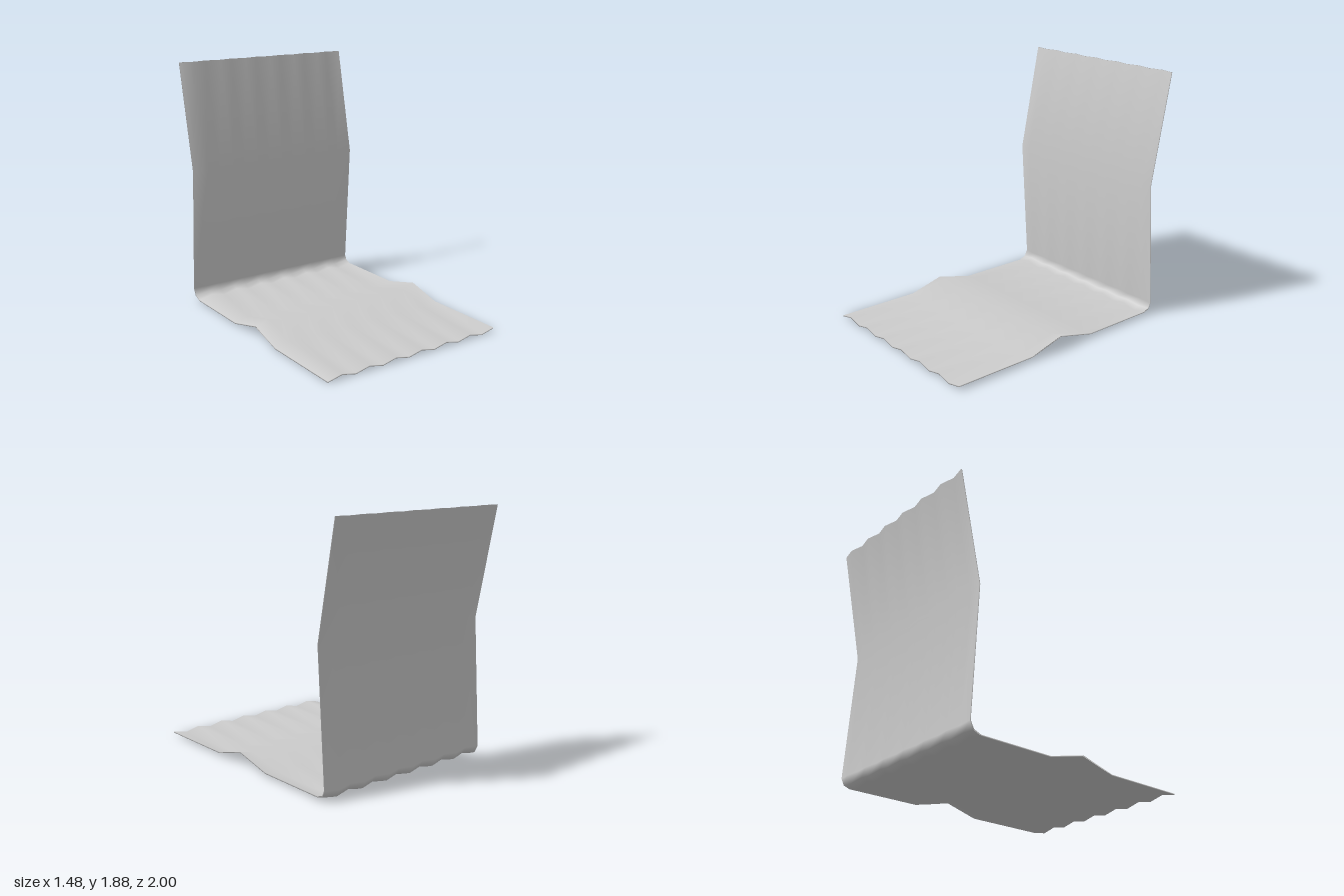
import * as THREE from 'three';

const HALF_WIDTH = 0.74;
const FOLDS = 13;         // zigzag facets across the width
const RIPPLE = 0.0125;    // half height of the zigzag
const HALF_THICK = 0.0045;

// Side profile from front edge to top edge: z, y, then the offset direction (z, y)
const PROFILE = [
  [1.0, 0.017, 0, 1],
  [0.35, 0.017, 0, 1],
  [0.08, 0.091, 0, 1],
  [-0.22, 0.017, 0, 1],
  [-0.8, 0.017, 0.1, 1],
  [-0.852, 0.037, 0.6, 0.75],
  [-0.877, 0.085, 0.85, 0.3],
  [-0.814, 1.055, 0.9, 0],
  [-0.983, 1.885, 1, 0],
];

// Closed thin sheet: one zigzag ring (upper row, then lower row back) per profile point
function corrugatedSheet() {
  const n = FOLDS + 1;
  const ring = 2 * n;
  const positions = [];
  const index = [];
  const quad = (a, b, c, d) => index.push(a, b, c, a, c, d);

  PROFILE.forEach(([z, y, dz, dy]) => {
    for (let k = 0; k < ring; k++) {
      const upper = k < n;
      const i = upper ? k : ring - 1 - k;
      const x = -HALF_WIDTH + (2 * HALF_WIDTH * i) / FOLDS;
      const h = (i % 2 ? RIPPLE : -RIPPLE) + (upper ? HALF_THICK : -HALF_THICK);
      positions.push(x, y + dy * h, z + dz * h);
    }
  });

  // Faces and side rims between neighbouring rings
  for (let j = 0; j < PROFILE.length - 1; j++) {
    for (let k = 0; k < ring; k++) {
      const a = j * ring + k;
      const b = j * ring + ((k + 1) % ring);
      quad(a, b, b + ring, a + ring);
    }
  }

  // Rims at the front and top edges
  const last = (PROFILE.length - 1) * ring;
  for (let i = 0; i < FOLDS; i++) {
    const low = ring - 1 - i;
    quad(low, low - 1, i + 1, i);
    quad(last + i, last + i + 1, last + low - 1, last + low);
  }

  const geometry = new THREE.BufferGeometry();
  geometry.setAttribute('position', new THREE.Float32BufferAttribute(positions, 3));
  geometry.setIndex(index);
  geometry.computeVertexNormals();
  return geometry;
}

export function createModel() {
  const model = new THREE.Group();
  model.name = 'foldedMat';
  const sheet = new THREE.Mesh(
    corrugatedSheet(),
    new THREE.MeshStandardMaterial({ color: 0xcccccc }),
  );
  sheet.name = 'corrugatedSeatAndBack';
  model.add(sheet);
  return model;
}
